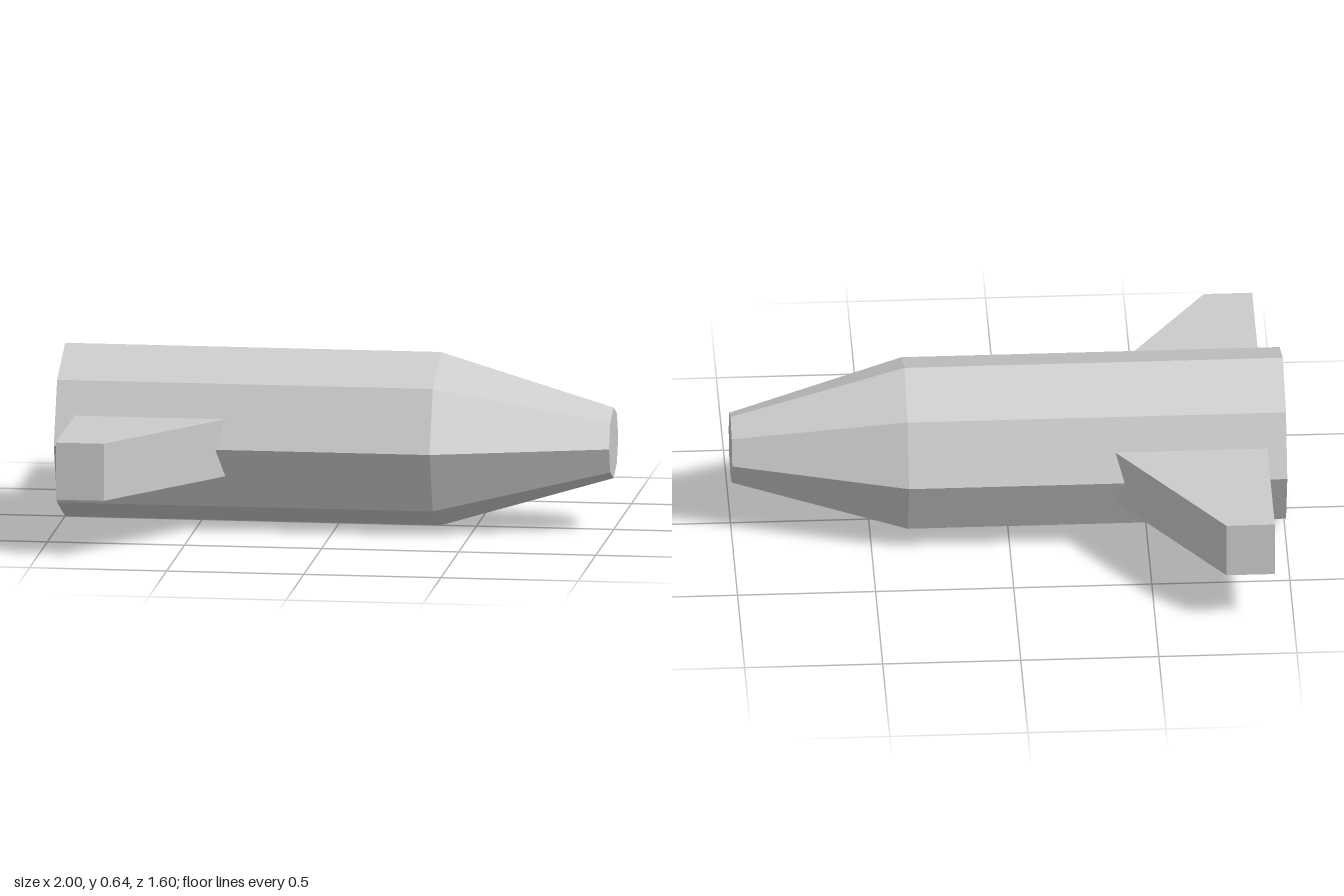
import * as THREE from 'three';

const AXIS_Y = 0.319;

export function createModel() {
  const model = new THREE.Group();
  const material = new THREE.MeshStandardMaterial({ color: 0xcccccc, flatShading: true });

  // Eight-sided hull with tapered nose, lying along x
  const profile = [[0, -1], [0.319, -1], [0.319, 0.37], [0.13, 1], [0, 1]]
    .map(([r, x]) => new THREE.Vector2(r, x));
  const hull = new THREE.Mesh(new THREE.LatheGeometry(profile, 8), material);
  hull.name = 'hull';
  hull.rotation.z = -Math.PI / 2;
  hull.position.y = AXIS_Y;
  model.add(hull);

  // Thick swept tail fins, rooted inside the hull
  const thickness = 0.21;
  const outline = [[-0.93, 0.2], [-0.326, 0.2], [-0.755, 0.8], [-0.93, 0.8]];
  for (const side of [1, -1]) {
    const shape = new THREE.Shape(outline.map(([x, z]) => new THREE.Vector2(x, side * z)));
    const geometry = new THREE.ExtrudeGeometry(shape, { depth: thickness, bevelEnabled: false });
    geometry.rotateX(Math.PI / 2);
    const fin = new THREE.Mesh(geometry, material);
    fin.name = side > 0 ? 'frontFin' : 'backFin';
    fin.position.y = AXIS_Y + thickness / 2;
    model.add(fin);
  }

  return model;
}
